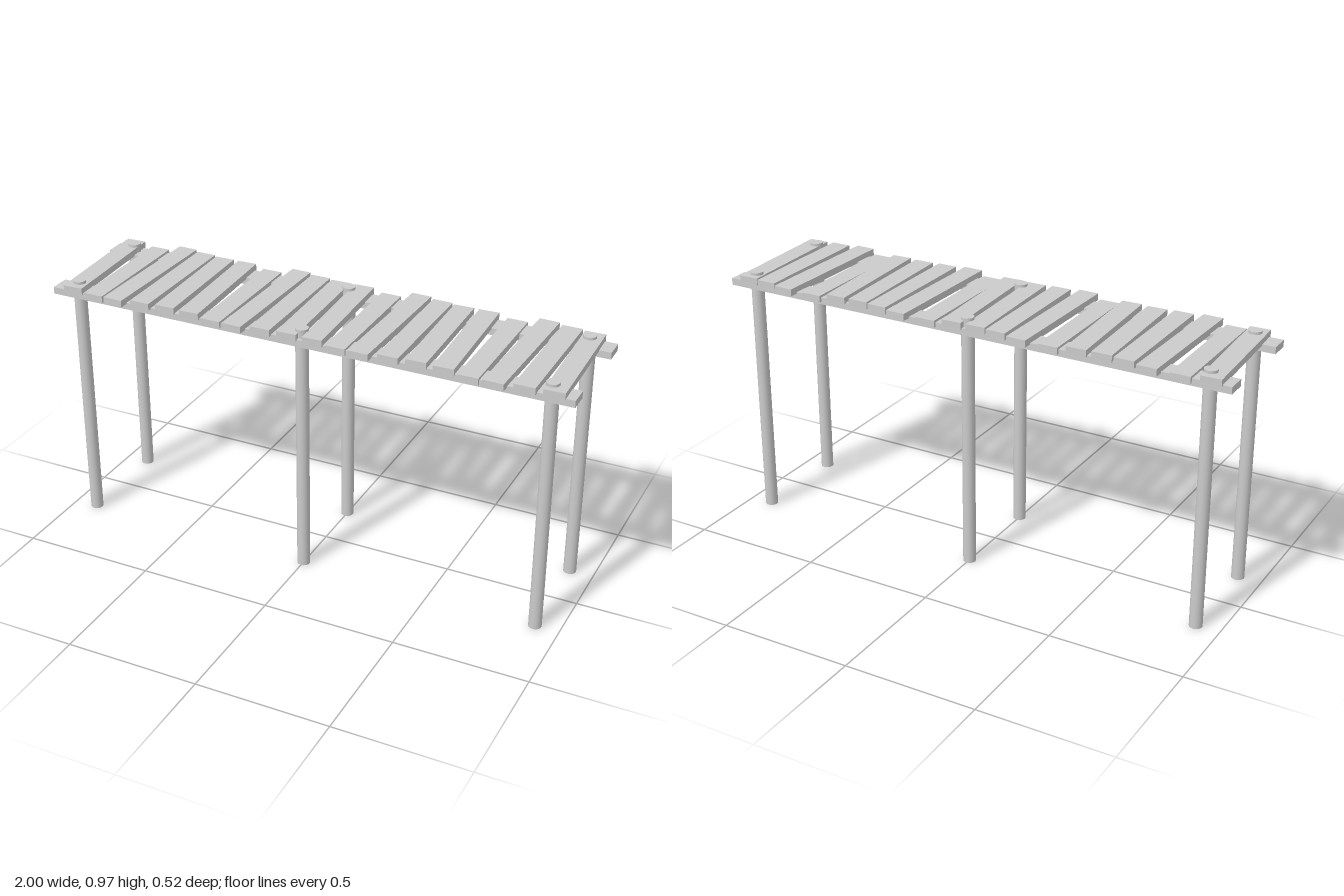
import * as THREE from 'three';

export function createModel() {
  const model = new THREE.Group();
  const material = new THREE.MeshStandardMaterial({ color: 0xcccccc });
  const add = (name, geometry, x, y, z, yaw = 0) => {
    const mesh = new THREE.Mesh(geometry, material);
    mesh.name = name;
    mesh.position.set(x, y, z);
    mesh.rotation.y = yaw;
    model.add(mesh);
  };

  // Two long rails, each carried by three round posts that poke through the deck
  const railGeometry = new THREE.BoxGeometry(2, 0.026, 0.075);
  const postGeometry = new THREE.CylinderGeometry(0.024, 0.024, 0.97, 16);
  for (const z of [-0.19, 0.19]) {
    add('rail', railGeometry, 0, 0.925, z);
    for (const x of [-0.91, 0, 0.91]) add('post', postGeometry, x, 0.485, z);
  }

  // Uneven deck planks: length, height, skew and shift repeat every five
  const pattern = [
    { length: 0.475, y: 0.947, yaw: 0.043, shift: 0 },
    { length: 0.475, y: 0.934, yaw: 0, shift: 0 },
    { length: 0.52, y: 0.946, yaw: -0.025, shift: 0.006 },
    { length: 0.485, y: 0.947, yaw: 0, shift: 0.005 },
    { length: 0.47, y: 0.947, yaw: 0.03, shift: 0 },
  ];
  for (let i = 0; i < 20; i++) {
    const { length, y, yaw, shift } = pattern[i % 5];
    const plank = new THREE.BoxGeometry(0.075, 0.026, length);
    add('plank', plank, -0.92 + 0.097 * i + shift, y, 0, yaw);
  }
  return model;
}
